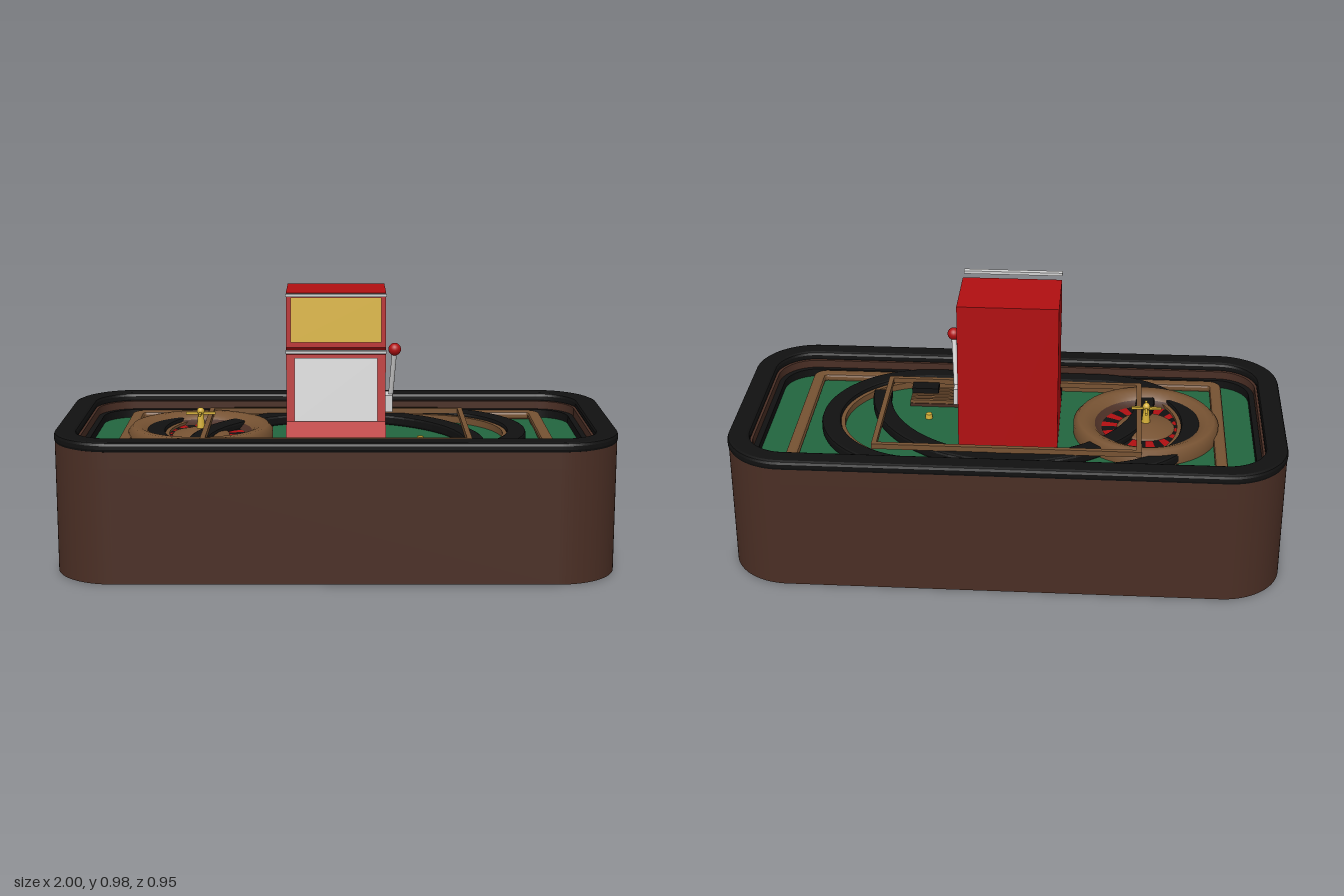
import * as THREE from 'three';

const mat = (name, color) => {
  const m = new THREE.MeshStandardMaterial({ color, side: THREE.DoubleSide });
  m.name = name;
  return m;
};

export function createModel() {
  const darkWood = mat('dark wood', 0x4a2e24);
  const wood = mat('wood', 0x765232);
  const black = mat('black padding', 0x111111);
  const felt = mat('green felt', 0x22663f);
  const red = mat('red', 0xb00f11);
  const gold = mat('gold', 0xd4af37);
  const silver = mat('silver', 0xd2d2d2);

  const model = new THREE.Group();
  model.name = 'casinoTable';

  // ---- helpers ----
  const add = (name, geo, material, x = 0, y = 0, z = 0, parent = model) => {
    const mesh = new THREE.Mesh(geo, material);
    mesh.name = name;
    mesh.position.set(x, y, z);
    parent.add(mesh);
    return mesh;
  };
  const box = (name, material, w, h, d, x, y, z, parent) =>
    add(name, new THREE.BoxGeometry(w, h, d), material, x, y, z, parent);
  // rounded rectangle with half sizes a, b and corner radius r
  const roundRect = (a, b, r, T = THREE.Shape) => {
    const s = new T();
    s.moveTo(a, -b + r);
    s.absarc(a - r, b - r, r, 0, Math.PI / 2);
    s.absarc(-a + r, b - r, r, Math.PI / 2, Math.PI);
    s.absarc(-a + r, -b + r, r, Math.PI, Math.PI * 1.5);
    s.absarc(a - r, -b + r, r, Math.PI * 1.5, Math.PI * 2);
    return s;
  };
  // flat shape raised from y0 to y1, with an optional rounded edge
  const slab = (name, shape, material, y0, y1, bevel = 0) => {
    const geo = new THREE.ExtrudeGeometry(shape, {
      depth: y1 - y0 - 2 * bevel, curveSegments: 16, bevelEnabled: bevel > 0,
      bevelSize: bevel, bevelThickness: bevel, bevelOffset: -bevel, bevelSegments: 2,
    });
    geo.rotateX(-Math.PI / 2);
    return add(name, geo, material, 0, y0 + bevel, 0);
  };
  const frame = (name, material, a, b, r, t, y0, y1, bevel) => {
    const s = roundRect(a, b, r);
    s.holes.push(roundRect(a - t, b - t, Math.max(r - t, 0.01), THREE.Path));
    return slab(name, s, material, y0, y1, bevel);
  };

  // ---- table body, felt and padded rim ----
  slab('tableBody', roundRect(0.998, 0.471, 0.22), darkWood, 0.002, 0.415);
  frame('tableWall', darkWood, 0.998, 0.471, 0.22, 0.085, 0.415, 0.48);
  slab('feltTop', roundRect(0.9, 0.385, 0.14), felt, 0.415, 0.42);
  frame('paddedRim', black, 1, 0.475, 0.22, 0.08, 0.473, 0.51, 0.012);
  frame('innerLedge', black, 0.912, 0.39, 0.14, 0.02, 0.415, 0.45);
  frame('feltTrim', wood, 0.79, 0.37, 0.05, 0.045, 0.42, 0.45, 0.01);

  // ---- oval table ring and half-round table arch ----
  frame('ovalRail', black, 0.7, 0.385, 0.385, 0.07, 0.42, 0.46, 0.01);
  frame('ovalRailTrim', wood, 0.63, 0.315, 0.315, 0.015, 0.42, 0.445);
  const arch = new THREE.Shape();
  arch.absarc(0, -0.2, 0.535, 0, Math.PI);
  arch.absarc(0, -0.2, 0.465, Math.PI, 0, true);
  slab('archRail', arch, black, 0.42, 0.46, 0.01);

  // thin raised wooden frame
  for (const s of [-1, 1]) {
    box('frameSide', wood, 0.018, 0.02, 0.53, s * 0.475, 0.469, 0);
    box('frameLong', wood, 0.968, 0.02, 0.018, 0, 0.469, s * 0.262);
  }

  // ---- roulette wheel ----
  const wheel = new THREE.Group();
  wheel.name = 'rouletteWheel';
  wheel.position.set(-0.5, 0, 0);
  model.add(wheel);
  const lathe = (name, pts, material) => add(name,
    new THREE.LatheGeometry(pts.map(([r, y]) => new THREE.Vector2(r, y)), 48), material, 0, 0, 0, wheel);
  lathe('wheelRim', [[0.267, 0.42], [0.267, 0.455], [0.25, 0.474], [0.225, 0.474], [0.2, 0.462], [0.188, 0.45]], wood);
  lathe('wheelBowl', [[0.188, 0.45], [0.163, 0.432], [0, 0.428]], darkWood);
  lathe('wheelCone', [[0.108, 0.432], [0.1, 0.442], [0.04, 0.457], [0, 0.46]], wood);
  const pockets = 28, step = Math.PI * 2 / pockets;
  for (let i = 0; i < pockets; i++) {
    const geo = new THREE.RingGeometry(0.106, 0.163, 3, 1, i * step, step);
    geo.rotateX(-Math.PI / 2);
    add('pocket', geo, i % 2 ? red : black, 0, 0.435, 0, wheel);
  }
  add('spindle', new THREE.CylinderGeometry(0.009, 0.016, 0.07, 16), gold, 0, 0.49, 0, wheel);
  add('spindleKnob', new THREE.SphereGeometry(0.014, 16, 10), gold, 0, 0.522, 0, wheel);
  box('spindleArm', gold, 0.11, 0.009, 0.009, 0, 0.515, 0, wheel);
  box('spindleArm', gold, 0.009, 0.009, 0.1, 0, 0.515, 0, wheel);

  // ---- slot machine ----
  const slot = new THREE.Group();
  slot.name = 'slotMachine';
  model.add(slot);
  const profile = [[-0.16, 0], [0.2, 0], [0.2, 0.45], [0.13, 0.51], [0.09, 0.75], [0.12, 0.78], [0.1, 0.975], [-0.16, 0.975]];
  const cabinet = new THREE.ExtrudeGeometry(
    new THREE.Shape(profile.map(([z, y]) => new THREE.Vector2(-z, y))), { depth: 0.36, bevelEnabled: false });
  cabinet.rotateY(Math.PI / 2);
  add('cabinet', cabinet, red, -0.18, 0, 0, slot);
  // panel lying on the sloped front between two profile points
  const panel = (name, material, w, [z0, y0], [z1, y1]) => {
    const p = box(name, material, w, Math.hypot(z1 - z0, y1 - y0), 0.008, 0, (y0 + y1) / 2, (z0 + z1) / 2, slot);
    p.rotation.x = Math.atan2(z1 - z0, y1 - y0);
  };
  panel('signPanel', gold, 0.325, [0.121, 0.8], [0.105, 0.96]);
  panel('screenPanel', silver, 0.3, [0.132, 0.512], [0.0945, 0.738]);
  for (const y of [0.975, 0.77]) box('chromeBar', silver, 0.36, 0.011, 0.02, 0, y, 0.157, slot);

  // side lever
  box('leverMount', silver, 0.028, 0.062, 0.08, 0.193, 0.558, 0, slot);
  const a = new THREE.Vector3(0.2, 0.565, 0), b = new THREE.Vector3(0.213, 0.765, 0.065);
  const stick = add('leverStick', new THREE.CylinderGeometry(0.009, 0.009, a.distanceTo(b), 12), silver, 0, 0, 0, slot);
  stick.position.copy(a).lerp(b, 0.5);
  stick.quaternion.setFromUnitVectors(new THREE.Vector3(0, 1, 0), b.clone().sub(a).normalize());
  add('leverBall', new THREE.SphereGeometry(0.023, 20, 14), red, b.x, b.y, b.z, slot);

  // ---- chip rack in front of the machine ----
  box('chipRack', black, 0.36, 0.012, 0.13, 0, 0.428, 0.27);
  [red, silver, black, gold, darkWood, silver, red, silver].forEach((m, i) => {
    const chips = add('chipRow', new THREE.CylinderGeometry(0.018, 0.018, 0.125, 14), m, -0.158 + i * 0.045, 0.437, 0.27);
    chips.rotation.x = Math.PI / 2;
  });

  // ---- slatted tray, card box and gold token ----
  box('trayBase', darkWood, 0.2, 0.012, 0.12, 0.29, 0.426, 0.2);
  for (let i = 0; i < 5; i++) box('traySlat', wood, 0.2, 0.014, 0.013, 0.29, 0.438, 0.15 + i * 0.025);
  box('cardBox', black, 0.1, 0.045, 0.065, 0.34, 0.443, 0.232);
  add('token', new THREE.CylinderGeometry(0.012, 0.014, 0.018, 12), gold, 0.31, 0.429, 0.05);

  return model;
}
